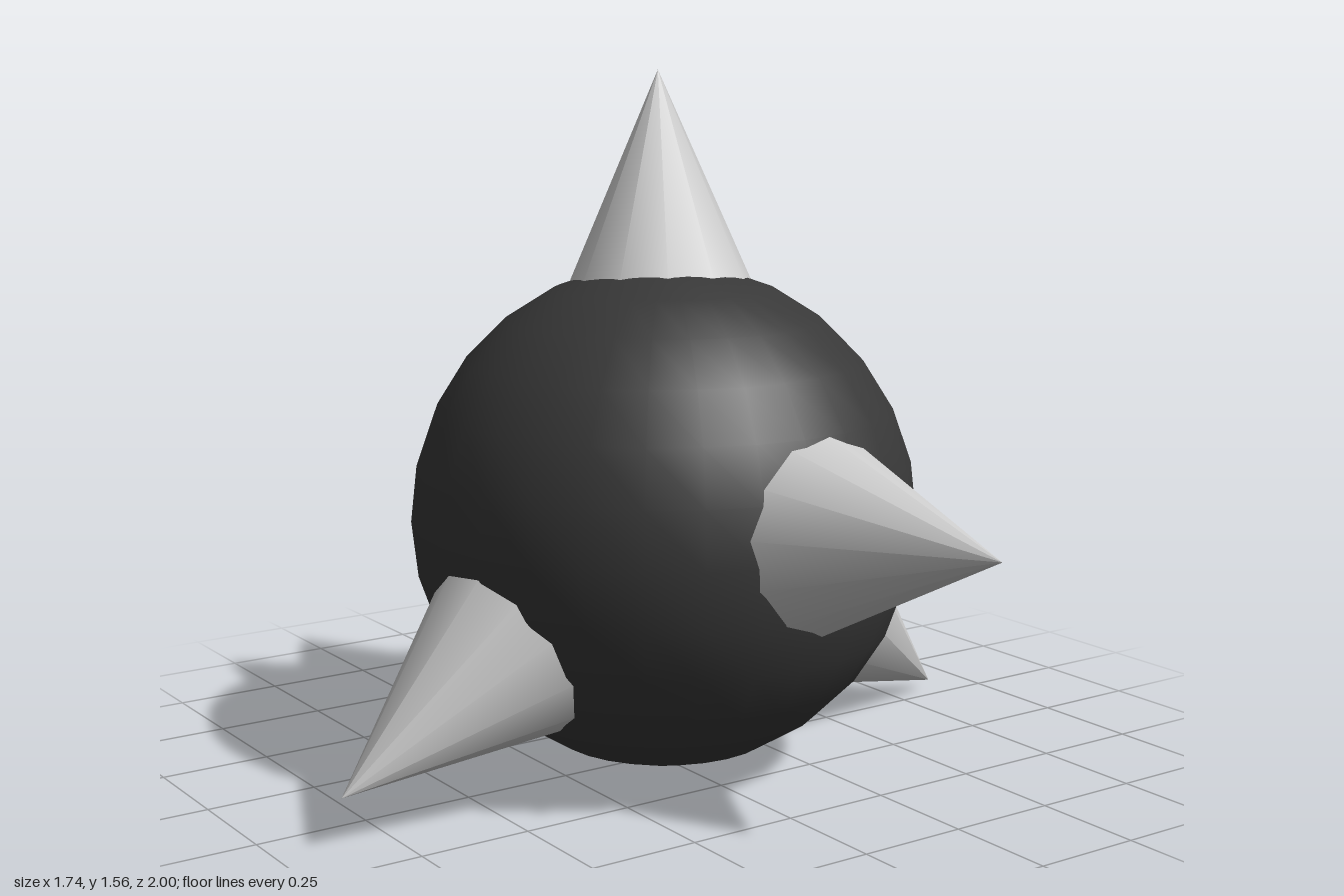
import * as THREE from 'three';

const CENTRE = new THREE.Vector3(0.017, 0.567, 0);
const RADIUS = 0.57;
const BASE_DISTANCE = 0.5; // spike bases sit inside the ball
const SPIKE_SLOPE = 0.435; // radius per unit of length

export function createModel() {
  const model = new THREE.Group();
  model.name = 'spikedBall';

  // Dark ball
  const ball = new THREE.Mesh(
    new THREE.SphereGeometry(RADIUS, 28, 14),
    new THREE.MeshStandardMaterial({ color: 0x383838 })
  );
  ball.name = 'ball';
  ball.position.copy(CENTRE);
  model.add(ball);

  // Spikes pointing straight out from the ball's centre, given by their tips
  const spikeMaterial = new THREE.MeshStandardMaterial({ color: 0xcccccc });
  const tips = {
    topSpike: [0.07, 1.56, -0.1],
    frontSpike: [0.115, 0.64, 1],
    backSpike: [-0.075, 0.48, -1],
    leftSpike: [0.865, 0.02, -0.04],
    rightSpike: [-0.87, 0.11, 0.135],
  };
  const up = new THREE.Vector3(0, 1, 0);
  for (const [name, tip] of Object.entries(tips)) {
    const direction = new THREE.Vector3(...tip).sub(CENTRE);
    const length = direction.length() - BASE_DISTANCE;
    direction.normalize();
    const spike = new THREE.Mesh(
      new THREE.ConeGeometry(length * SPIKE_SLOPE, length, 12),
      spikeMaterial
    );
    spike.name = name;
    spike.quaternion.setFromUnitVectors(up, direction);
    spike.position.copy(CENTRE).addScaledVector(direction, BASE_DISTANCE + length / 2);
    model.add(spike);
  }

  return model;
}
